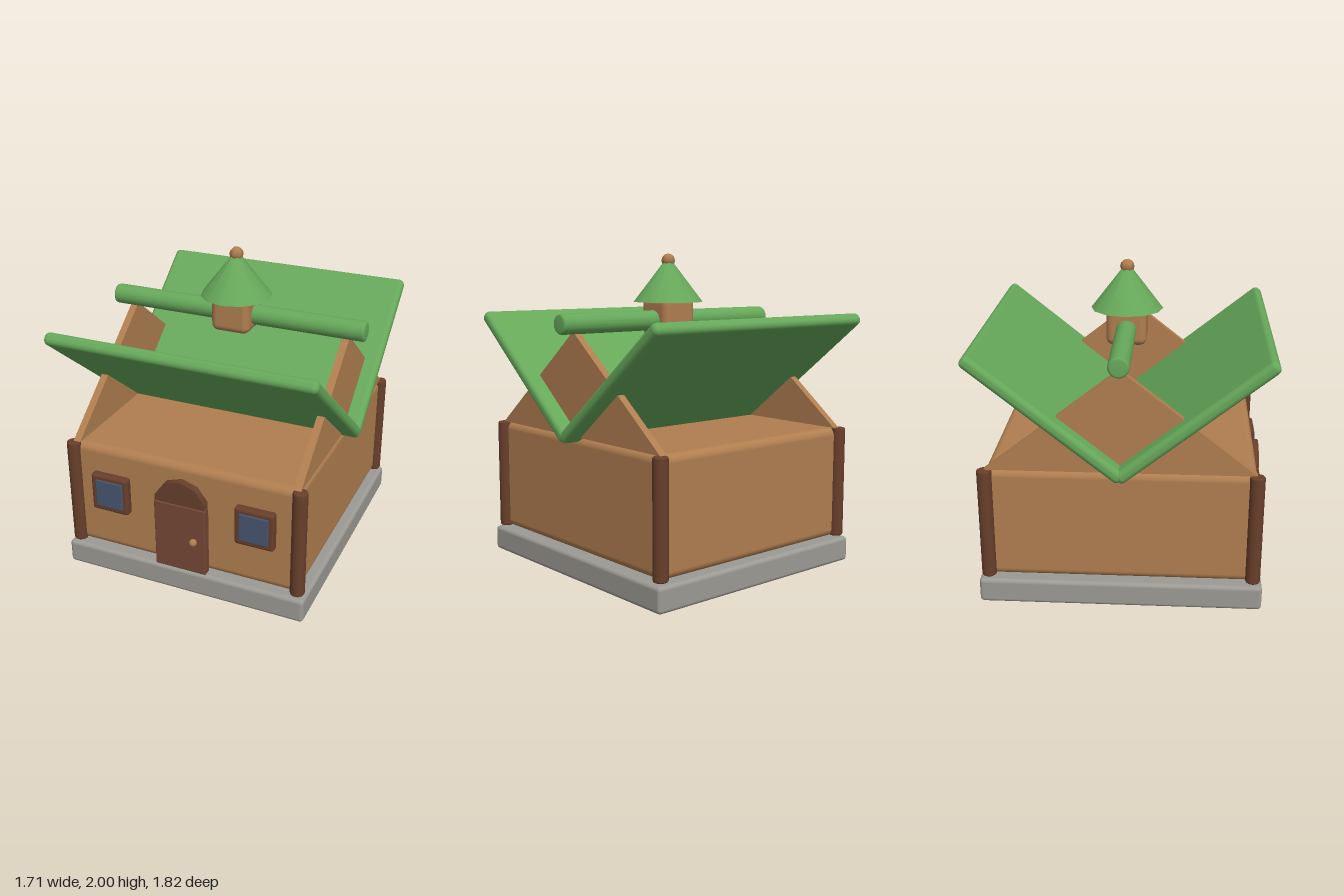
import * as THREE from 'three';
import { RoundedBoxGeometry } from 'three/addons/geometries/RoundedBoxGeometry.js';

const mat = (name, color) => {
  const m = new THREE.MeshStandardMaterial({ color });
  m.name = name;
  return m;
};

export function createModel() {
  const wall = mat('tan wood', 0xb07e50);
  const trim = mat('dark wood', 0x683f2b);
  const doorWood = mat('door wood', 0x744835);
  const green = mat('green roof', 0x66a85a);
  const stone = mat('grey stone', 0x9c9a94);
  const glass = mat('blue glass', 0x47566f);

  const house = new THREE.Group();
  house.name = 'house';
  house.position.z = -0.005;

  const add = (name, geometry, material, x = 0, y = 0, z = 0) => {
    const mesh = new THREE.Mesh(geometry, material);
    mesh.name = name;
    mesh.position.set(x, y, z);
    house.add(mesh);
    return mesh;
  };
  const rounded = (w, h, d, r) => new RoundedBoxGeometry(w, h, d, 3, r);

  // Round bar along y with softened rims
  const bar = (radius, length, bevel, sides) => {
    const h = length / 2;
    const half = [[0, h], [radius - bevel, h], [radius - bevel * 0.3, h - bevel * 0.3], [radius, h - bevel]];
    const top = half.map(([r, y]) => new THREE.Vector2(r, y));
    const bottom = half.map(([r, y]) => new THREE.Vector2(r, -y));
    return new THREE.LatheGeometry([...bottom, ...top.reverse()], sides);
  };

  // Base and walls
  add('foundation', rounded(1.62, 0.16, 1.746, 0.025), stone, 0, 0.08, 0);
  add('walls', rounded(1.51, 0.72, 1.64, 0.05), wall, 0, 0.525, 0);

  // Corner posts
  const post = bar(0.046, 0.715, 0.012, 16);
  for (const x of [-1, 1]) for (const z of [-1, 1]) {
    add('cornerPost', post, trim, x * 0.752, 0.5275, z * 0.815);
  }

  // Gable boards
  const triangle = new THREE.Shape([
    new THREE.Vector2(-0.815, 0.885), new THREE.Vector2(0.815, 0.885), new THREE.Vector2(0, 1.528),
  ]);
  const gable = new THREE.ExtrudeGeometry(triangle, { depth: 0.047, bevelEnabled: false });
  gable.translate(0, 0, -0.0235).rotateY(Math.PI / 2);
  for (const x of [-1, 1]) add('gable', gable, wall, x * 0.731, 0, 0);

  // Roof panels meeting in a valley
  const slope = 0.677;
  const panel = rounded(1.712, 0.08, 1.165, 0.034);
  for (const s of [-1, 1]) {
    add('roofPanel', panel, green, 0, 1.238, s * 0.44).rotation.x = -s * slope;
  }

  // Ridge pole
  add('ridgePole', bar(0.064, 1.712, 0.016, 20), green, 0, 1.575, 0).rotation.z = Math.PI / 2;

  // Cupola with cone roof and finial
  add('cupola', rounded(0.255, 0.25, 0.255, 0.045), wall, 0, 1.595, 0);
  add('cupolaRoof', new THREE.ConeGeometry(0.228, 0.295, 12), green, 0, 1.8375, 0);
  const finial = new THREE.SphereGeometry(0.045, 6, 6);
  add('finial', finial, wall, 0, 1.955, 0).rotation.y = Math.PI / 2;

  // Door with a ten-sided arch and a knob
  add('door', rounded(0.342, 0.465, 0.06, 0.008), doorWood, 0, 0.4, 0.845);
  const arch = new THREE.CylinderGeometry(0.175, 0.175, 0.05, 10);
  arch.rotateX(Math.PI / 2).rotateZ(Math.PI);
  add('doorArch', arch, trim, 0, 0.617, 0.843);
  add('doorKnob', new THREE.SphereGeometry(0.025, 10, 8), wall, 0.097, 0.4, 0.888);

  // Front windows
  for (const x of [-1, 1]) {
    add('windowFrame', rounded(0.254, 0.254, 0.06, 0.018), trim, x * 0.486, 0.584, 0.84);
    add('windowGlass', rounded(0.19, 0.19, 0.03, 0.008), glass, x * 0.486, 0.584, 0.861);
  }

  const model = new THREE.Group();
  model.name = 'cottage';
  model.add(house);
  return model;
}
